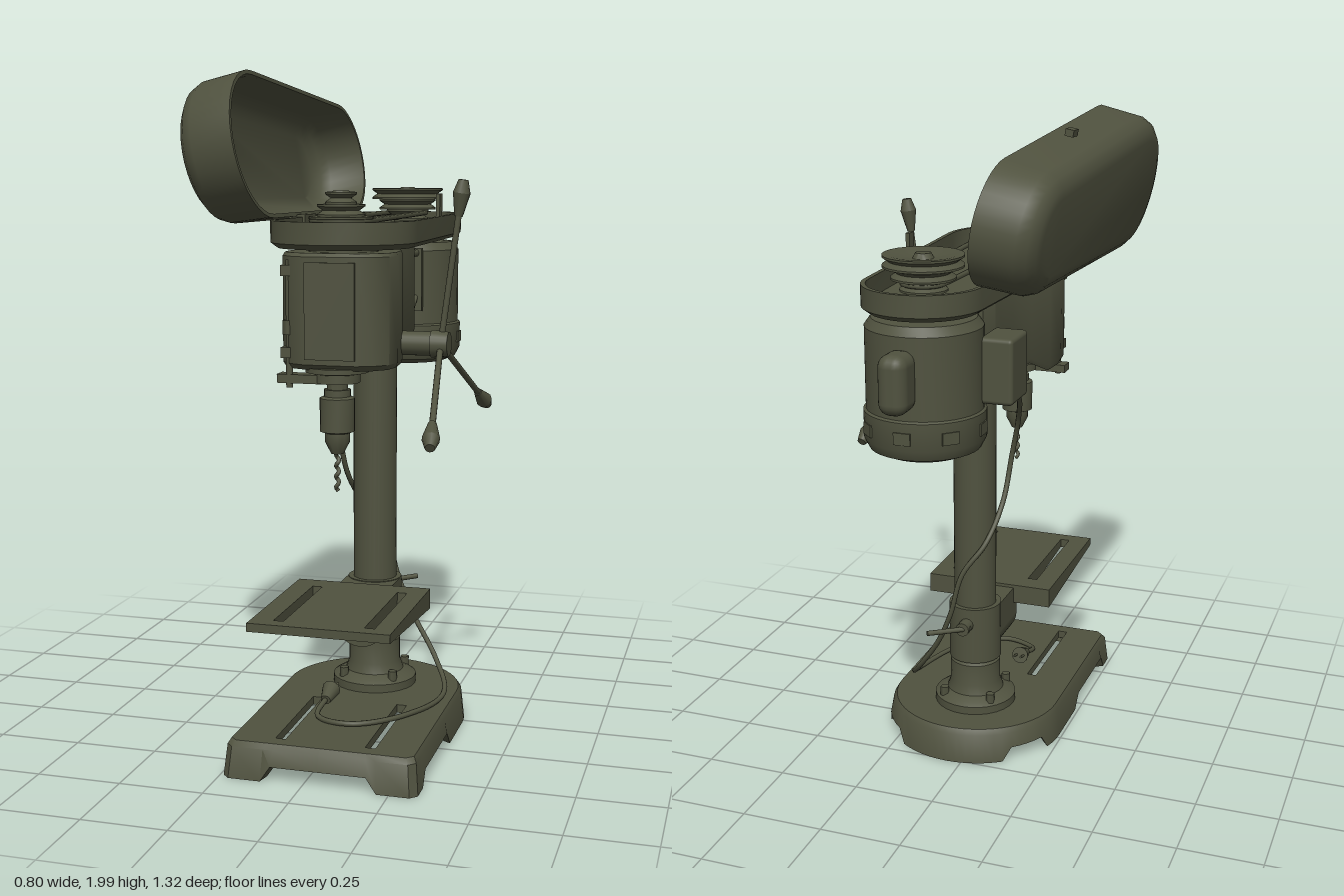
import * as THREE from 'three';
import { toCreasedNormals } from 'three/addons/utils/BufferGeometryUtils.js';
import { RoundedBoxGeometry } from 'three/addons/geometries/RoundedBoxGeometry.js';

const V = (x, y, z) => new THREE.Vector3(x, y, z);
const CX = 0.04; // centre line of column, spindle and motor

export function createModel() {
  const root = new THREE.Group();
  const olive = new THREE.MeshStandardMaterial({ color: 0x50523f, side: THREE.DoubleSide });
  olive.name = 'olive paint';

  const add = (name, geo, x = 0, y = 0, z = 0, parent = root) => {
    const m = new THREE.Mesh(geo, olive);
    m.name = name;
    m.position.set(x, y, z);
    parent.add(m);
    return m;
  };
  const box = (name, w, h, d, x, y, z) => add(name, new THREE.BoxGeometry(w, h, d), x, y, z);
  const soft = (name, w, h, d, r, x, y, z) => add(name, new RoundedBoxGeometry(w, h, d, 3, r), x, y, z);
  // Turned part from [radius, height] pairs
  const lathe = (name, pts, x, y, z, n = 28) =>
    add(name, toCreasedNormals(new THREE.LatheGeometry(pts.map(p => new THREE.Vector2(...p)), n), 0.6), x, y, z);
  // Straight rod between two points
  const rod = (name, a, b, r1, r2 = r1, n = 12) => {
    const d = b.clone().sub(a);
    const m = add(name, new THREE.CylinderGeometry(r2, r1, d.length(), n));
    m.position.copy(a).addScaledVector(d, 0.5);
    m.quaternion.setFromUnitVectors(V(0, 1, 0), d.normalize());
    return m;
  };
  const tube = (name, pts, r, closed = false, n = 80) =>
    add(name, new THREE.TubeGeometry(new THREE.CatmullRomCurve3(pts, closed), n, r, 8, closed));
  // Skin over rings of points, with optional end caps
  const loft = (rings, caps = true) => {
    const n = rings[0].length, pos = rings.flat().flatMap(p => p.toArray()), idx = [];
    for (let i = 0; i < rings.length - 1; i++)
      for (let j = 0; j < n; j++) {
        const a = i * n + j, b = i * n + (j + 1) % n;
        idx.push(a, b, a + n, b, b + n, a + n);
      }
    if (caps) {
      const last = (rings.length - 1) * n;
      for (let j = 1; j < n - 1; j++) idx.push(0, j + 1, j, last, last + j, last + j + 1);
    }
    const g = new THREE.BufferGeometry();
    g.setAttribute('position', new THREE.Float32BufferAttribute(pos, 3));
    g.setIndex(idx);
    return toCreasedNormals(g, 0.6);
  };
  // Outline around two circles [x, z, r], shrunk by inset
  const hull = ([x1, z1, r1], [x2, z2, r2], inset, y, n = 18) => {
    const phi = Math.atan2(z2 - z1, x2 - x1);
    const a = Math.acos((r1 - r2) / Math.hypot(x2 - x1, z2 - z1));
    const arc = (x, z, r, from, to) => Array.from({ length: n + 1 }, (_, i) => {
      const t = from + (to - from) * i / n;
      return V(x + (r - inset) * Math.cos(t), y, z + (r - inset) * Math.sin(t));
    });
    return [...arc(x2, z2, r2, phi - a, phi + a), ...arc(x1, z1, r1, phi + a, phi + 2 * Math.PI - a)];
  };
  // Horizontal slab from a plan outline, with slots [x0, x1, z0, z1]
  const slab = (pts, h, slots = []) => {
    const s = new THREE.Shape(pts.map(p => new THREE.Vector2(...p)));
    for (const [a, b, c, d] of slots)
      s.holes.push(new THREE.Path([[a, c], [a, d], [b, d], [b, c]].map(p => new THREE.Vector2(...p))));
    return new THREE.ExtrudeGeometry(s, { depth: h, bevelEnabled: false }).rotateX(Math.PI / 2);
  };

  // Base: hollow casting with arched sides and a round back
  const half = [[0.0, 0.63, 0.045], [0.14, 0.63, 0.045], [0.17, 0.63, 0], [0.265, 0.63, 0], [0.285, 0.61, 0],
    [0.285, 0.55, 0], [0.285, 0.52, 0.045], [0.285, 0.24, 0.045], [0.285, 0.2, 0]];
  for (let i = 0; i <= 15; i++) {
    const t = i / 15 * Math.PI / 2;
    half.push([0.285 * Math.cos(t), 0.02 - 0.28 * Math.sin(t), i >= 4 && i <= 8 ? 0.045 : 0]);
  }
  const plan = [...half, ...half.slice(1, -1).reverse().map(([x, z, y]) => [-x, z, y])];
  const ring = (k, yOf) => plan.map(([x, z, b]) => V(0.045 + x * k, yOf(b), 0.19 + (z - 0.19) * k));
  add('baseWall', loft([ring(0.93, b => Math.max(b, 0.005)), ring(1, b => b), ring(0.97, () => 0.09),
    ring(0.94, () => 0.105)], false));
  add('baseTop', slab(ring(0.94, () => 0).map(p => [p.x, p.z]), 0.025,
    [[-0.1, -0.07, 0.2, 0.56], [0.165, 0.195, 0.2, 0.56]]), 0, 0.105, 0);

  // Column with its floor flange and bolts
  const colZ = -0.007;
  add('column', new THREE.CylinderGeometry(0.067, 0.067, 1.3, 32), CX, 0.77, colZ);
  lathe('columnFlange', [[0, 0.1], [0.13, 0.1], [0.13, 0.13], [0.115, 0.14], [0.09, 0.15], [0.08, 0.18], [0.08, 0.25], [0.067, 0.26]], CX, 0, colZ);
  for (let i = 0; i < 4; i++) {
    const t = Math.PI / 4 + i * Math.PI / 2;
    add('flangeBolt', new THREE.CylinderGeometry(0.014, 0.014, 0.03, 6), CX + 0.11 * Math.cos(t), 0.15, colZ + 0.11 * Math.sin(t));
  }

  // Work table: slotted plate, deeper toward the column
  const table = slab([[-0.165, 0.13], [0.25, 0.13], [0.25, 0.615], [-0.165, 0.615]], 0.025,
    [[-0.1, -0.07, 0.2, 0.57], [0.165, 0.195, 0.2, 0.57]]);
  const tp = table.attributes.position;
  for (let i = 0; i < tp.count; i++)
    if (tp.getY(i) < -0.01) tp.setY(i, tp.getY(i) - (0.615 - tp.getZ(i)) * 0.075);
  table.computeVertexNormals();
  add('table', table, 0, 0.455, 0);
  // Arm and clamp under the table
  const armShape = new THREE.Shape([[0.41, 0.41], [0.41, 0.37], [0.16, 0.34], [0.1, 0.34], [0.1, 0.42]].map(p => new THREE.Vector2(...p)));
  add('tableArm', new THREE.ExtrudeGeometry(armShape, { depth: 0.065, bevelEnabled: false })
    .rotateY(-Math.PI / 2), 0.075, 0, 0);
  add('tableCollar', new THREE.CylinderGeometry(0.083, 0.083, 0.185, 28), CX, 0.355, colZ);
  rod('tablePivot', V(CX, 0.347, 0), V(CX, 0.347, 0.165), 0.082, 0.082, 28);
  box('tablePivotBlock', 0.165, 0.1, 0.165, CX, 0.395, 0.082);
  rod('clampScrew', V(CX, 0.395, -0.07), V(CX, 0.395, -0.13), 0.022);
  rod('clampLever', V(CX - 0.02, 0.395, -0.11), V(CX + 0.09, 0.4, -0.2), 0.008);

  // Head casting
  const headPlan = [[0.075, 0.48], [0.12, 0.46], [0.155, 0.42], [0.163, 0.36], [0.155, 0.27], [0.125, 0.17], [0.105, 0.05], [0.1, -0.1], [0.08, -0.15]];
  const headRing = [...headPlan, ...headPlan.slice().reverse().map(([x, z]) => [-x, z])];
  const headAt = (y, k = 1) => headRing.map(([x, z]) => V(CX + x * k, typeof y === 'number' ? y : y(z), 0.165 + (z - 0.165) * k));
  add('head', loft([headAt(z => z > 0.2 ? 1.155 : 1.2, 0.96), headAt(z => z > 0.2 ? 1.17 : 1.215),
    headAt(1.47), headAt(1.48, 0.97)]));
  box('frontPlate', 0.145, 0.27, 0.008, CX, 1.32, 0.482);
  add('trayPost', new THREE.CylinderGeometry(0.1, 0.1, 0.04, 24), CX, 1.485, 0.34);
  add('columnSocket', new THREE.CylinderGeometry(0.08, 0.08, 0.06, 28), CX, 1.18, colZ);

  // Depth stop
  rod('depthRod', V(-0.09, 1.1, 0.44), V(-0.09, 1.46, 0.44), 0.01);
  for (const y of [1.2, 1.43]) box('depthBracket', 0.05, 0.03, 0.06, -0.085, y, 0.43);
  rod('depthNut', V(-0.09, 1.25, 0.44), V(-0.09, 1.29, 0.44), 0.02, 0.02, 6);
  box('depthArm', 0.16, 0.025, 0.05, -0.045, 1.125, 0.425);

  // Quill, chuck and bit
  lathe('quill', [[0, 1.16], [0.09, 1.16], [0.09, 1.145], [0.065, 1.14], [0.065, 1.115], [0.03, 1.11], [0.03, 1.08]], CX, 0, 0.405);
  lathe('chuck', [[0, 1.095], [0.038, 1.095], [0.038, 1.075], [0.05, 1.07], [0.05, 0.975], [0.036, 0.97], [0.036, 0.945], [0.018, 0.91], [0, 0.91]], CX, 0, 0.405, 20);
  const twist = Array.from({ length: 31 }, (_, i) => V(CX + 0.004 * Math.cos(i * 0.8), 0.92 - i * 0.004, 0.405 + 0.004 * Math.sin(i * 0.8)));
  tube('drillBit', twist, 0.006);

  // Feed hub with three handles
  const hubY = 1.215, hubZ = 0.26;
  rod('feedHub', V(0.15, hubY, hubZ), V(0.29, hubY, hubZ), 0.035, 0.035, 20);
  rod('feedHubEnd', V(0.28, hubY, hubZ), V(0.33, hubY, hubZ), 0.04, 0.035, 20);
  for (const [y, z] of [[1.68, 0.26], [0.985, 0.655], [0.985, -0.135]]) {
    const a = V(0.305, hubY, hubZ), b = V(0.367, y, z);
    const at = t => a.clone().lerp(b, t);
    rod('feedHandle', a, at(0.85), 0.009);
    rod('handleKnob', at(0.78), at(0.92), 0.012, 0.025, 10);
    rod('handleKnobTip', at(0.92), at(1), 0.025, 0.014, 10);
  }

  // Pulley tray
  const front = [CX, 0.33, 0.21], back = [CX, -0.41, 0.175];
  add('pulleyTray', loft([[0.02, 1.49], [0, 1.505], [0, 1.567], [0.014, 1.567], [0.014, 1.51]].map(([i, y]) => hull(front, back, i, y))));
  box('trayLatch', 0.012, 0.07, 0.035, 0.225, 1.6, -0.06);
  box('trayBlock', 0.14, 0.05, 0.08, -0.02, 1.535, 0.15);
  box('trayHinge', 0.05, 0.04, 0.11, -0.165, 1.555, 0.08);

  // Stepped pulleys, one the other way up, with the belt
  const steps = [0.115, 0.092, 0.068, 0.045];
  const pulley = (name, z, flip) => {
    const pts = [[0, 1.51]];
    (flip ? steps.slice().reverse() : steps).forEach((r, i) => {
      const y = 1.51 + i * 0.034;
      pts.push([r, y], [r, y + 0.006], [r - 0.016, y + 0.017], [r, y + 0.028], [r, y + 0.034]);
    });
    pts.push([pts.at(-1)[0] - 0.018, 1.646], [0.03, 1.635], [0.022, 1.65], [0, 1.65]);
    lathe(name, pts, CX, 0, z, 24);
  };
  pulley('spindlePulley', 0.365, false);
  pulley('motorPulley', -0.41, true);
  tube('belt', hull([CX, 0.365, 0.083], [CX, -0.41, 0.06], 0, 1.567), 0.008, true, 160);

  // Lid, swung open on the side hinge
  const lid = new THREE.Group();
  lid.name = 'lid';
  lid.position.set(-0.157, 1.57, 0);
  lid.rotation.set(0, -0.05, 1.754, 'YXZ');
  root.add(lid);
  const lf = [0.213, 0.315, 0.213], lb = [0.178, -0.405, 0.178];
  add('lidShell', loft([[0.07, 0.178], [0.045, 0.173], [0.02, 0.155], [0.006, 0.125], [0, 0], [0.012, 0], [0.018, 0.12],
    [0.035, 0.148], [0.075, 0.168]].map(([i, y]) => hull(lf, lb, i, y))), 0, 0, 0, lid);
  add('lidCatch', new THREE.BoxGeometry(0.02, 0.025, 0.04), 0.4, 0.06, -0.09, lid);

  // Motor with its brackets, capacitor and switch box
  lathe('motor', [[0, 1.085], [0.125, 1.085], [0.16, 1.1], [0.175, 1.13], [0.175, 1.21], [0.168, 1.215], [0.168, 1.45], [0.15, 1.475], [0.06, 1.48], [0.04, 1.5]], CX, 0, -0.41, 36);
  for (let i = 0; i < 8; i++) {
    const t = i * Math.PI / 4;
    box('motorVent', 0.05, 0.035, 0.008, CX + 0.174 * Math.sin(t), 1.165, -0.41 + 0.174 * Math.cos(t)).rotation.y = t;
  }
  soft('capacitorBox', 0.085, 0.17, 0.11, 0.035, CX + 0.003, 1.33, -0.607);
  soft('switchBox', 0.1, 0.19, 0.14, 0.012, -0.165, 1.325, -0.33);
  for (const x of [-0.03, 0.11]) {
    rod('motorSlideRod', V(x, 1.445, 0), V(x, 1.445, -0.3), 0.012);
    rod('motorLowerBrace', V(x, 1.23, -0.13), V(x, 1.32, -0.26), 0.008);
  }
  box('motorMount', 0.18, 0.2, 0.02, CX, 1.36, -0.245);

  // Power cable and plug
  tube('powerCable', [V(-0.12, 1.27, -0.27), V(-0.13, 1.18, -0.1), V(-0.09, 1.06, 0.03), V(-0.055, 0.92, 0.07), V(-0.04, 0.78, 0.03),
    V(-0.015, 0.67, -0.06), V(0.05, 0.57, -0.1), V(0.09, 0.43, -0.1), V(0.14, 0.32, -0.08), V(0.23, 0.19, -0.03), V(0.285, 0.12, 0.08),
    V(0.22, 0.115, 0.3), V(0.08, 0.115, 0.42), V(-0.03, 0.115, 0.38), V(-0.03, 0.14, 0.28)], 0.008, false, 120);
  rod('plug', V(-0.03, 0.135, 0.3), V(-0.03, 0.15, 0.24), 0.015, 0.028);
  for (const x of [-0.042, -0.018]) rod('plugPin', V(x, 0.15, 0.24), V(x, 0.158, 0.21), 0.004);

  return root;
}
